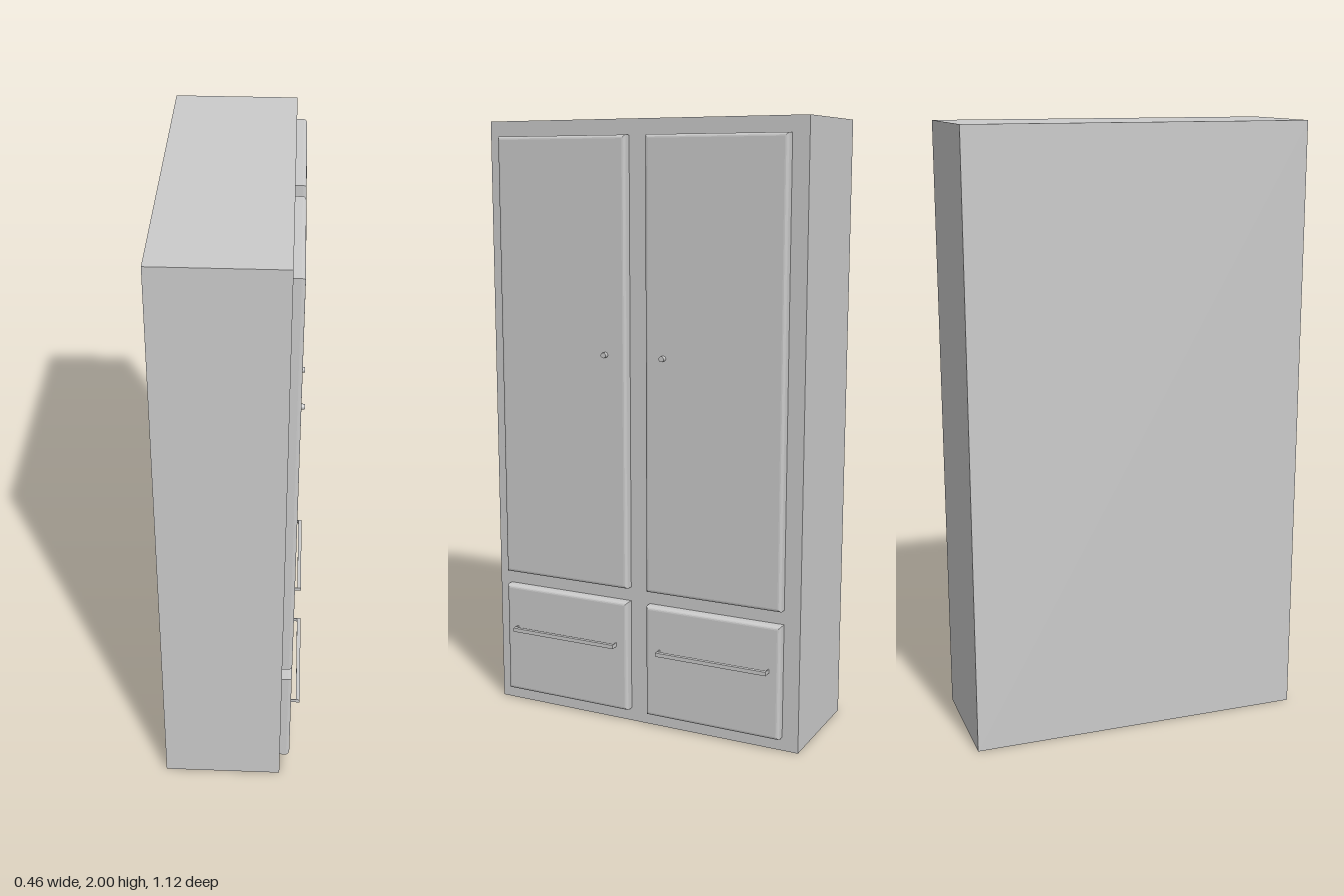
import * as THREE from 'three';

const material = new THREE.MeshStandardMaterial({ color: 0xcccccc });
const CARCASS_FRONT = 0.165;
const PANEL_FRONT = 0.198;

function addMesh(parent, name, geometry, x, y, z) {
  const mesh = new THREE.Mesh(geometry, material);
  mesh.name = name;
  mesh.position.set(x, y, z);
  parent.add(mesh);
  return mesh;
}

// Slab with rounded front edges; its rear bevel is sunk into the carcass
function addPanel(parent, name, z0, z1, y0, y1) {
  const bevel = 0.011;
  const w = (z1 - z0) / 2 - bevel;
  const h = (y1 - y0) / 2 - bevel;
  const shape = new THREE.Shape([
    new THREE.Vector2(-w, -h), new THREE.Vector2(w, -h),
    new THREE.Vector2(w, h), new THREE.Vector2(-w, h),
  ]);
  const back = CARCASS_FRONT - 0.015;
  const geometry = new THREE.ExtrudeGeometry(shape, {
    depth: PANEL_FRONT - back - 2 * bevel,
    bevelThickness: bevel, bevelSize: bevel, bevelSegments: 4,
  });
  geometry.rotateY(Math.PI / 2);
  addMesh(parent, name, geometry, back + bevel, (y0 + y1) / 2, (z0 + z1) / 2);
}

// Small round knob on a door
function addKnob(parent, name, y, z) {
  const geometry = new THREE.CylinderGeometry(0.009, 0.009, 0.02, 20);
  geometry.rotateZ(-Math.PI / 2);
  addMesh(parent, name, geometry, 0.204, y, z);
}

// Bar pull with a thin post at each end
function addHandle(parent, name, y, z0, z1) {
  const handle = new THREE.Group();
  handle.name = name;
  const t = 0.013;
  addMesh(handle, 'handleBar', new THREE.BoxGeometry(t, t, z1 - z0), 0.2215, y, (z0 + z1) / 2);
  for (const z of [z0 + 0.0015, z1 - 0.0015]) {
    addMesh(handle, 'handlePost', new THREE.BoxGeometry(0.022, t, 0.003), 0.206, y, z);
  }
  parent.add(handle);
}

export function createModel() {
  const wardrobe = new THREE.Group();
  wardrobe.name = 'wardrobe';

  // Plain box body
  addMesh(wardrobe, 'carcass', new THREE.BoxGeometry(0.393, 2, 1.118), -0.0315, 1, 0);

  // Two bays, each a door above a drawer
  const bays = [
    { side: 'first', z0: 0.043, z1: 0.515, knob: 0.116, pull: [0.082, 0.473] },
    { side: 'second', z0: -0.504, z1: -0.027, knob: -0.093, pull: [-0.468, -0.077] },
  ];
  for (const { side, z0, z1, knob, pull } of bays) {
    const bay = new THREE.Group();
    bay.name = side + 'Bay';
    addPanel(bay, 'door', z0, z1, 0.473, 1.95);
    addPanel(bay, 'drawerFront', z0, z1, 0.045, 0.425);
    addKnob(bay, 'doorKnob', 1.254, knob);
    addHandle(bay, 'drawerHandle', 0.275, ...pull);
    wardrobe.add(bay);
  }
  return wardrobe;
}
